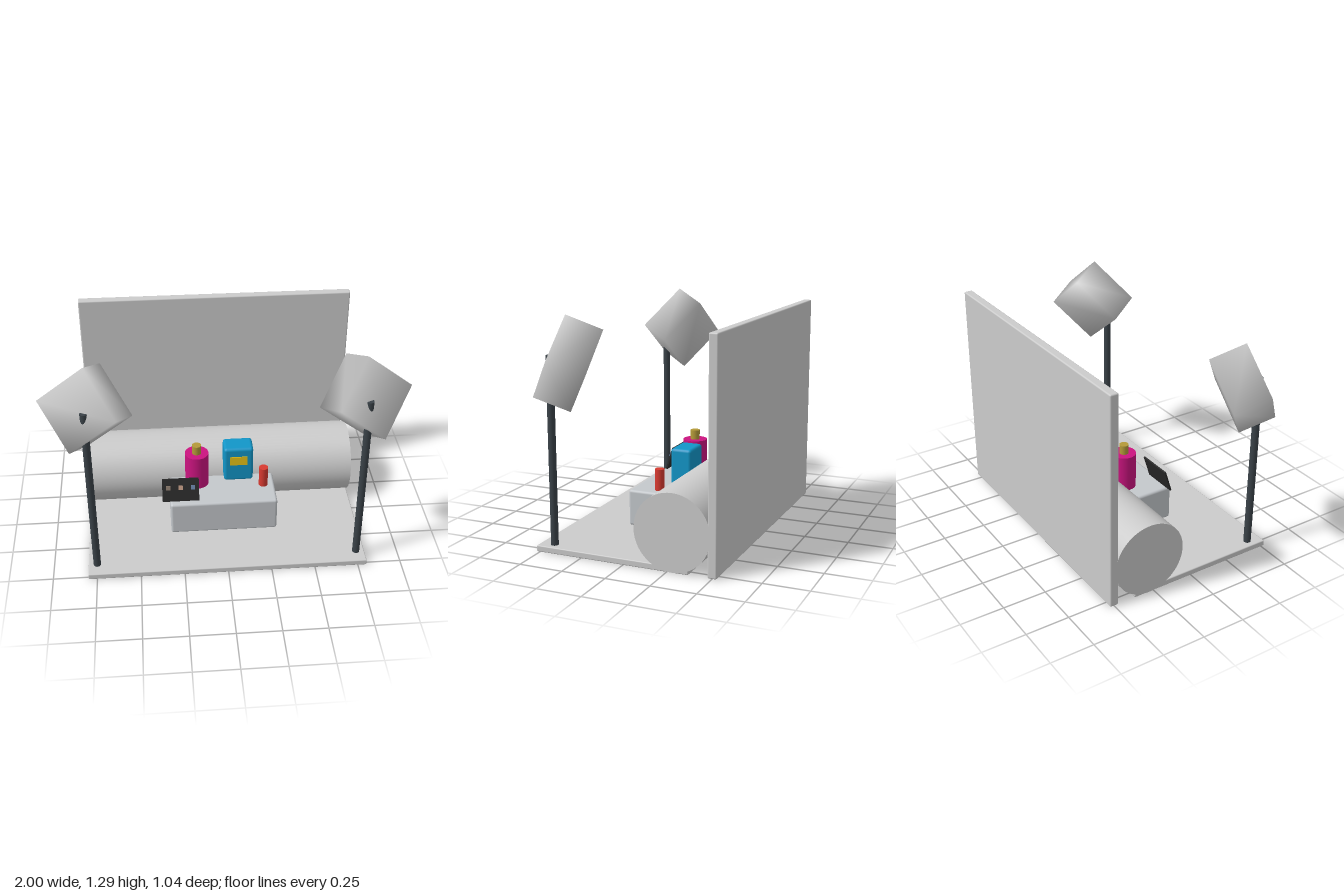
import * as THREE from 'three';
import { mergeVertices } from 'three/addons/utils/BufferGeometryUtils.js';
import { RoundedBoxGeometry } from 'three/addons/geometries/RoundedBoxGeometry.js';

const mat = (color) => new THREE.MeshStandardMaterial({ color });
const GREY = mat(0xcccccc);
const STEEL = mat(0x3a4248);
const MAGENTA = mat(0xcc1480);
const GOLD = mat(0xb49a38);
const BLUE = mat(0x1296c8);
const YELLOW = mat(0xe8c418);
const RED = mat(0xd83a30);
const DARK = mat(0x2a2a2a);

export function createModel() {
  const model = new THREE.Group();
  model.name = 'productPhotoStage';

  const add = (name, geometry, material, x, y, z, parent = model) => {
    const mesh = new THREE.Mesh(geometry, material);
    mesh.name = name;
    mesh.position.set(x, y, z);
    parent.add(mesh);
    return mesh;
  };
  const slab = (w, h, d, r) => new RoundedBoxGeometry(w, h, d, 2, r);
  const rod = (r, h, n = 32) => new THREE.CylinderGeometry(r, r, h, n);

  // Stage: floor, back wall and the large roll lying between them
  add('floor', slab(1.6, 0.035, 0.89, 0.006), GREY, 0, 0.0175, 0.075);
  add('backWall', slab(1.6, 1.25, 0.05, 0.008), GREY, 0, 0.625, -0.5);
  add('backdropRoll', rod(0.213, 1.6, 64), GREY, 0, 0.214, -0.278).rotation.z = Math.PI / 2;

  // Display plinth
  add('plinth', slab(0.63, 0.21, 0.4, 0.015), mat(0xc4c8cc), 0, 0.145, 0);

  // Bottle with cap
  add('bottle', rod(0.07, 0.215), MAGENTA, -0.147, 0.3575, -0.018);
  add('bottleCap', rod(0.027, 0.055), GOLD, -0.147, 0.4925, -0.018);

  // Carton with label
  add('carton', slab(0.175, 0.23, 0.125, 0.018), BLUE, 0.1025, 0.369, -0.068);
  add('cartonLabel', new THREE.BoxGeometry(0.105, 0.058, 0.006), YELLOW, 0.1025, 0.4, -0.004);

  // Small tube
  add('smallTube', rod(0.027, 0.125, 24), RED, 0.247, 0.3125, 0.036);

  // Leaning palette with three colour pans
  const palette = new THREE.Group();
  palette.name = 'palette';
  palette.position.set(-0.252, 0.324, 0.148);
  palette.rotation.x = -0.31;
  model.add(palette);
  add('paletteBoard', new THREE.BoxGeometry(0.215, 0.14, 0.009), DARK, 0, 0, 0, palette);
  [0x8a7a6c, 0xc09a84, 0x6a84a8].forEach((color, i) =>
    add('palettePan', new THREE.BoxGeometry(0.025, 0.026, 0.006), mat(color),
      (i - 1) * 0.072, 0.017, 0.013, palette));

  // Softly shaded box shared by both lamp heads
  const headGeometry = () => {
    const g = new THREE.BoxGeometry(0.328, 0.328, 0.21);
    g.deleteAttribute('normal');
    g.deleteAttribute('uv');
    const merged = mergeVertices(g);
    merged.computeVertexNormals();
    return merged;
  };

  // Mirrored lamps: upright pole and a tilted head aimed at the plinth
  for (const side of [1, -1]) {
    const lamp = new THREE.Group();
    lamp.name = side > 0 ? 'leftLamp' : 'rightLamp';
    model.add(lamp);
    add('lampPole', rod(0.021, 1.075, 16), STEEL, side * 0.75, 0.5375, 0.434, lamp);

    const head = add('lampHead', headGeometry(), GREY, side * 0.75, 1.037, 0.325, lamp);
    const back = new THREE.Vector3(side * 0.39, 0.38, 0.84).normalize();
    const edge = new THREE.Vector3(side * 0.075, 0.107, -0.098);
    edge.addScaledVector(back, -edge.dot(back)).normalize();
    const third = new THREE.Vector3().crossVectors(back, edge);
    head.quaternion.setFromRotationMatrix(new THREE.Matrix4().makeBasis(edge, third, back));
  }

  return model;
}
